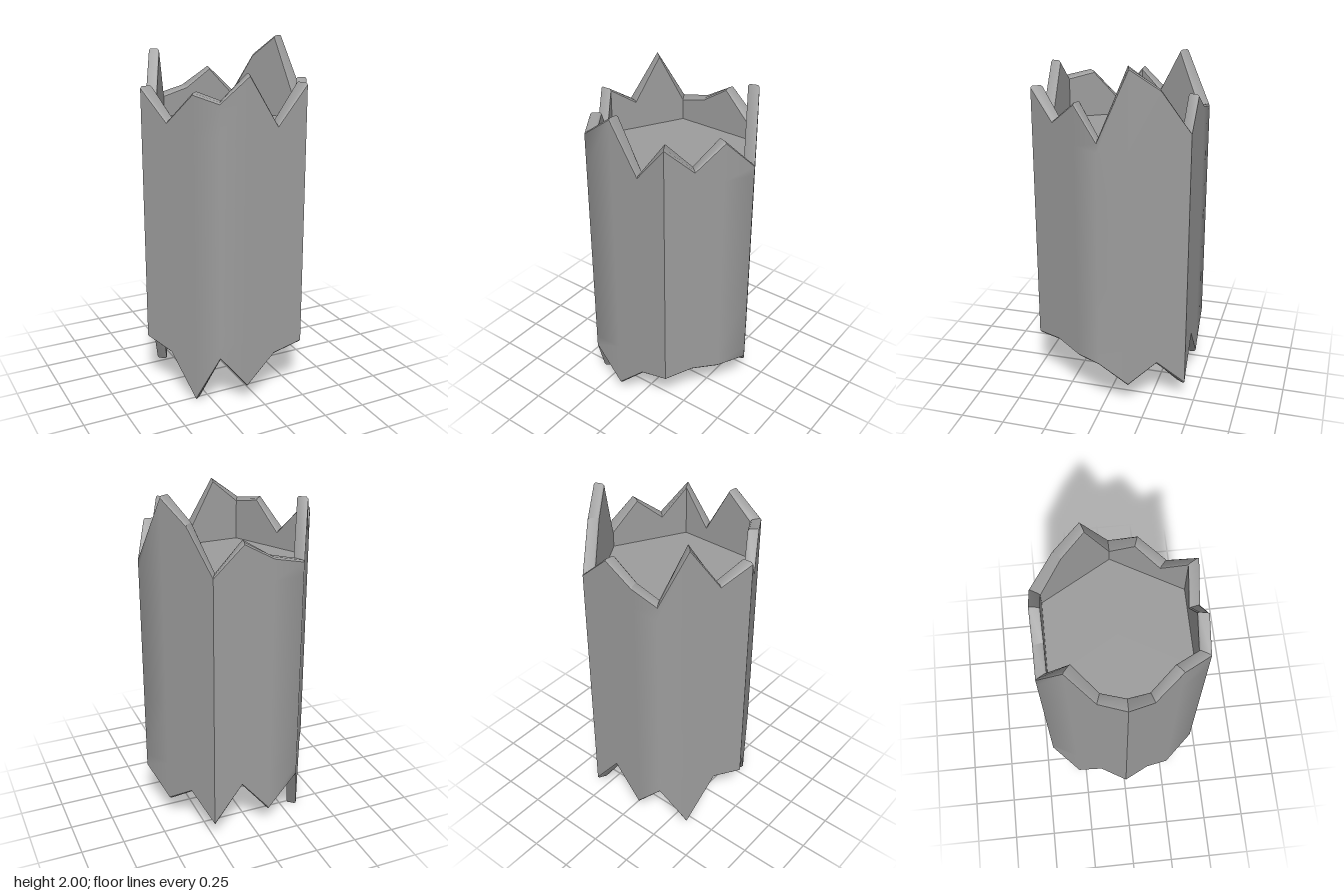
import * as THREE from 'three';

const OUTER = 0.513, INNER = 0.445, BEVEL = 0.01;
const FLOOR_Y = 1.53, CEILING_Y = 0.43;

// Jagged edge heights: three per side, from the +x corner round through the front
const TOP = [1.63, 1.80, 1.67, 1.83, 1.62, 1.90, 1.77, 1.80, 1.63,
  1.80, 1.70, 1.95, 1.66, 1.70, 1.80, 1.64, 1.88, 2.00];
const BOTTOM = [0.315, 0.305, 0.34, 0.32, 0.28, 0.11, 0.32, 0.01, 0.265,
  0.32, 0.33, 0.00, 0.33, 0.13, 0.34, 0.11, 0.27, 0.15];
const N = TOP.length;

// Point i on a hexagon of the given corner radius
function hexPoint(i, radius, y) {
  const corner = (k) => new THREE.Vector3(Math.cos(k * Math.PI / 3), 0, Math.sin(k * Math.PI / 3));
  const side = Math.floor(i / 3);
  return corner(side).lerp(corner(side + 1), (i % 3) / 3).multiplyScalar(radius).setY(y);
}

function ring(radius, height) {
  return Array.from({ length: N }, (_, i) => hexPoint(i, radius, height(i)));
}

// Strip between successive rings, over count segments from start
function loft(rings, start = 0, count = N) {
  const positions = [], index = [], cols = count + 1;
  for (const r of rings)
    for (let i = 0; i < cols; i++) positions.push(...r[(start + i) % N].toArray());
  for (let j = 0; j < rings.length - 1; j++) {
    for (let i = 0; i < count; i++) {
      const a = j * cols + i, b = a + 1, c = a + cols, d = c + 1;
      index.push(b, a, c, b, c, d);
    }
  }
  const g = new THREE.BufferGeometry();
  g.setAttribute('position', new THREE.Float32BufferAttribute(positions, 3));
  g.setIndex(index);
  g.computeVertexNormals();
  return g;
}

export function createModel() {
  const group = new THREE.Group();
  const smooth = new THREE.MeshStandardMaterial({ color: 0x9d9d9d });
  const flat = new THREE.MeshStandardMaterial({ color: 0x9d9d9d, flatShading: true });
  const add = (name, geometry, material) => {
    const mesh = new THREE.Mesh(geometry, material);
    mesh.name = name;
    group.add(mesh);
    return mesh;
  };

  const topAt = (drop) => (i) => TOP[i] - drop;
  const bottomAt = (rise) => (i) => BOTTOM[i] + rise;

  // Outer wall: three panels, each bending smoothly round one corner
  const outerLow = ring(OUTER, bottomAt(BEVEL)), outerHigh = ring(OUTER, topAt(BEVEL));
  const wall = [outerLow, ...[0.4, 0.8, 1.2, 1.57].map((y) => ring(OUTER, () => y)), outerHigh];
  for (let start = 3; start < N; start += 6) add('outerWall', loft(wall, start, 6), smooth);

  // Broken edges: each segment rounded across its thickness, creased against the next
  const innerHigh = ring(INNER, topAt(BEVEL)), innerLow = ring(INNER, bottomAt(BEVEL));
  const upperRim = [outerHigh, ring(OUTER - BEVEL, topAt(0)), ring(INNER + BEVEL, topAt(0)), innerHigh];
  const lowerRim = [innerLow, ring(INNER + BEVEL, bottomAt(0)), ring(OUTER - BEVEL, bottomAt(0)), outerLow];
  for (let i = 0; i < N; i++) {
    add('upperRim', loft(upperRim, i, 1), smooth);
    add('lowerRim', loft(lowerRim, i, 1), smooth);
  }

  // Inner walls down to the floor and up to the recess beneath
  add('upperInnerWall', loft([innerHigh, ring(INNER, () => FLOOR_Y)]), flat);
  add('lowerInnerWall', loft([ring(INNER, () => CEILING_Y), innerLow]), flat);

  // Hexagonal caps closing the core
  const floor = add('upperFloor', new THREE.CircleGeometry(INNER, 6), flat);
  floor.rotation.x = -Math.PI / 2;
  floor.position.y = FLOOR_Y;
  const ceiling = add('lowerCeiling', new THREE.CircleGeometry(INNER, 6), flat);
  ceiling.rotation.x = Math.PI / 2;
  ceiling.position.y = CEILING_Y;

  return group;
}
